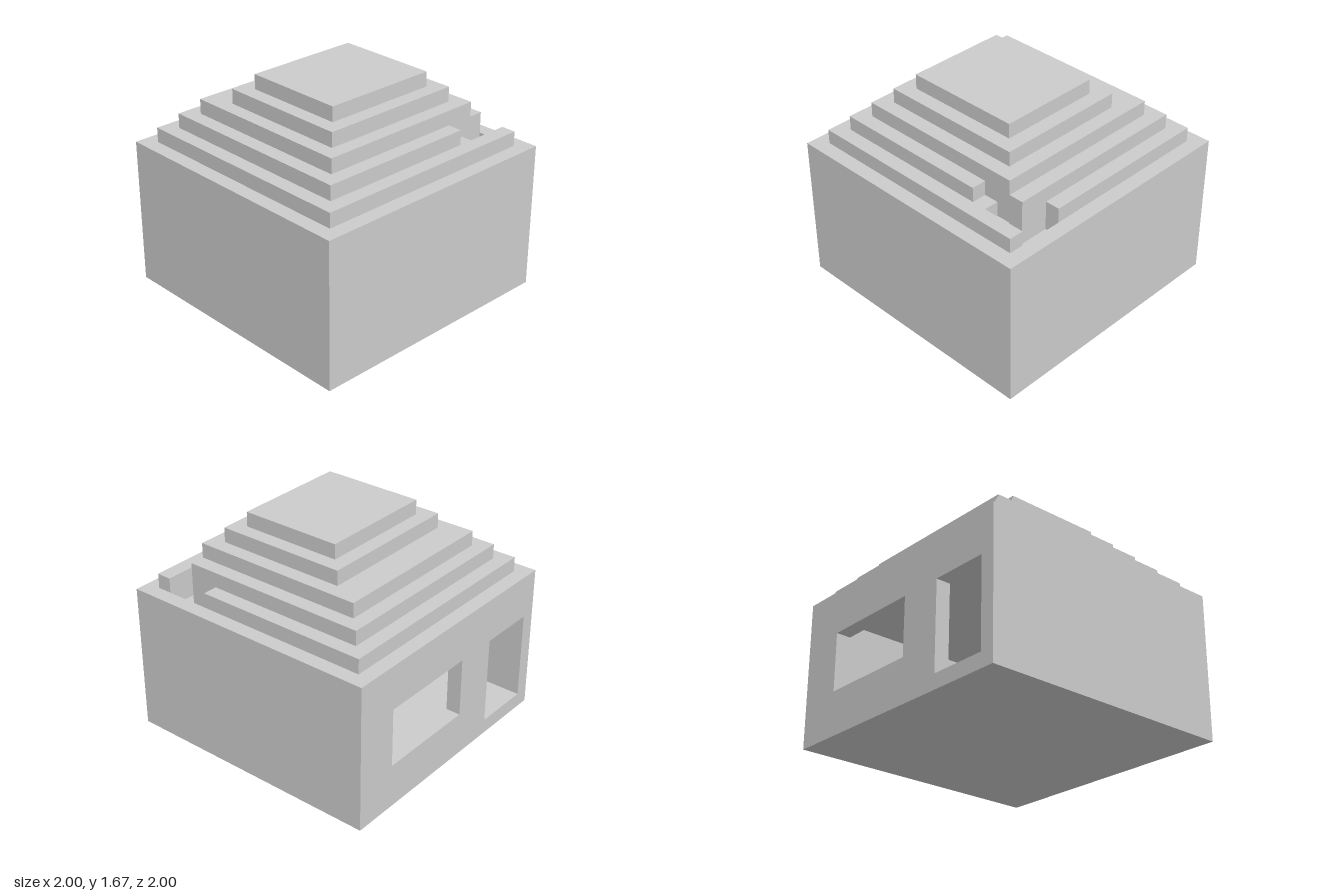
import * as THREE from 'three';

// The house is laid out in blocks: 18 x 18 in plan, 15 high; one block is 1/9 unit.
const BLOCK = 1 / 9;
const material = new THREE.MeshStandardMaterial({ color: 0xcccccc });

export function createModel() {
  const house = new THREE.Group();
  house.name = 'steppedRoofHouse';

  const add = (name, geometry) => {
    geometry.scale(BLOCK, BLOCK, BLOCK);
    const mesh = new THREE.Mesh(geometry, material);
    mesh.name = name;
    house.add(mesh);
    return mesh;
  };

  const rect = (x0, y0, x1, y1) => [[x0, y0], [x1, y0], [x1, y1], [x0, y1]];
  const toPoints = (list) => list.map(([x, y]) => new THREE.Vector2(x, y));

  // One-block wall panel, mitred inward at its sides and foot; outer face towards +z
  const wall = (name, angle, openings = []) => {
    const shape = new THREE.Shape(toPoints(rect(-9, 0, 9, 10)));
    for (const o of openings) shape.holes.push(new THREE.Path(toPoints(o)));
    const g = new THREE.ExtrudeGeometry(shape, { depth: 1, bevelEnabled: false });
    const p = g.attributes.position;
    for (let i = 0; i < p.count; i++) {
      if (p.getZ(i) > 0.5) continue;
      if (Math.abs(p.getX(i)) > 8.5) p.setX(i, Math.sign(p.getX(i)) * 8);
      if (p.getY(i) < 0.5) p.setY(i, 1);
    }
    g.computeVertexNormals();
    g.translate(0, 0, 8).rotateY(angle);
    add(name, g);
  };

  // Flat slab from a plan outline, in blocks counted from the back right-hand corner
  const slab = (name, outline, bottom, top) => {
    const shape = new THREE.Shape(toPoints(outline.map(([x, z]) => [x - 9, 9 - z])));
    const g = new THREE.ExtrudeGeometry(shape, { depth: top - bottom, bevelEnabled: false });
    g.rotateX(-Math.PI / 2).translate(0, bottom, 0);
    add(name, g);
  };

  // Walls: only the -x side has a window and a doorway
  wall('frontWall', 0);
  wall('leftWall', Math.PI / 2);
  wall('backWall', Math.PI);
  wall('rightWall', -Math.PI / 2, [rect(-6, 3, 1, 7), rect(4, 1, 8, 7)]);

  // Floor, mitred to meet the walls
  const floor = new THREE.BoxGeometry(18, 1, 18).translate(0, 0.5, 0).toNonIndexed();
  const fp = floor.attributes.position;
  for (let i = 0; i < fp.count; i++) {
    if (fp.getY(i) > 0.5) fp.setXYZ(i, fp.getX(i) * 8 / 9, 1, fp.getZ(i) * 8 / 9);
  }
  floor.computeVertexNormals();
  add('floor', floor);

  // Ceiling and first roof tier, cut away over the stairs
  slab('roofTier1', [
    [1, 1], [13, 1], [13, 2], [15, 2], [15, 4], [16, 4], [16, 1], [17, 1], [17, 17], [1, 17],
  ], 9, 11);
  // Second tier, cut back for the stair landing
  slab('roofTier2', [[2, 2], [15, 2], [15, 5], [16, 5], [16, 16], [2, 16]], 11, 12);
  // Upper tiers
  slab('roofTier3', rect(3, 3, 15, 15), 12, 13);
  slab('roofTier4', rect(5, 4, 14, 14), 13, 14);
  slab('roofTier5', rect(6, 5, 13, 13), 14, 15);

  // Stairs climb along the back wall, turn the corner and come out on the roof
  for (let i = 0; i < 9; i++) {
    const x = Math.min(9 + i, 15);
    const z = 1 + Math.max(0, i - 6);
    slab('stairStep', rect(x, z, x + 1, z + 1), 1 + i, 2 + i);
  }

  return house;
}
